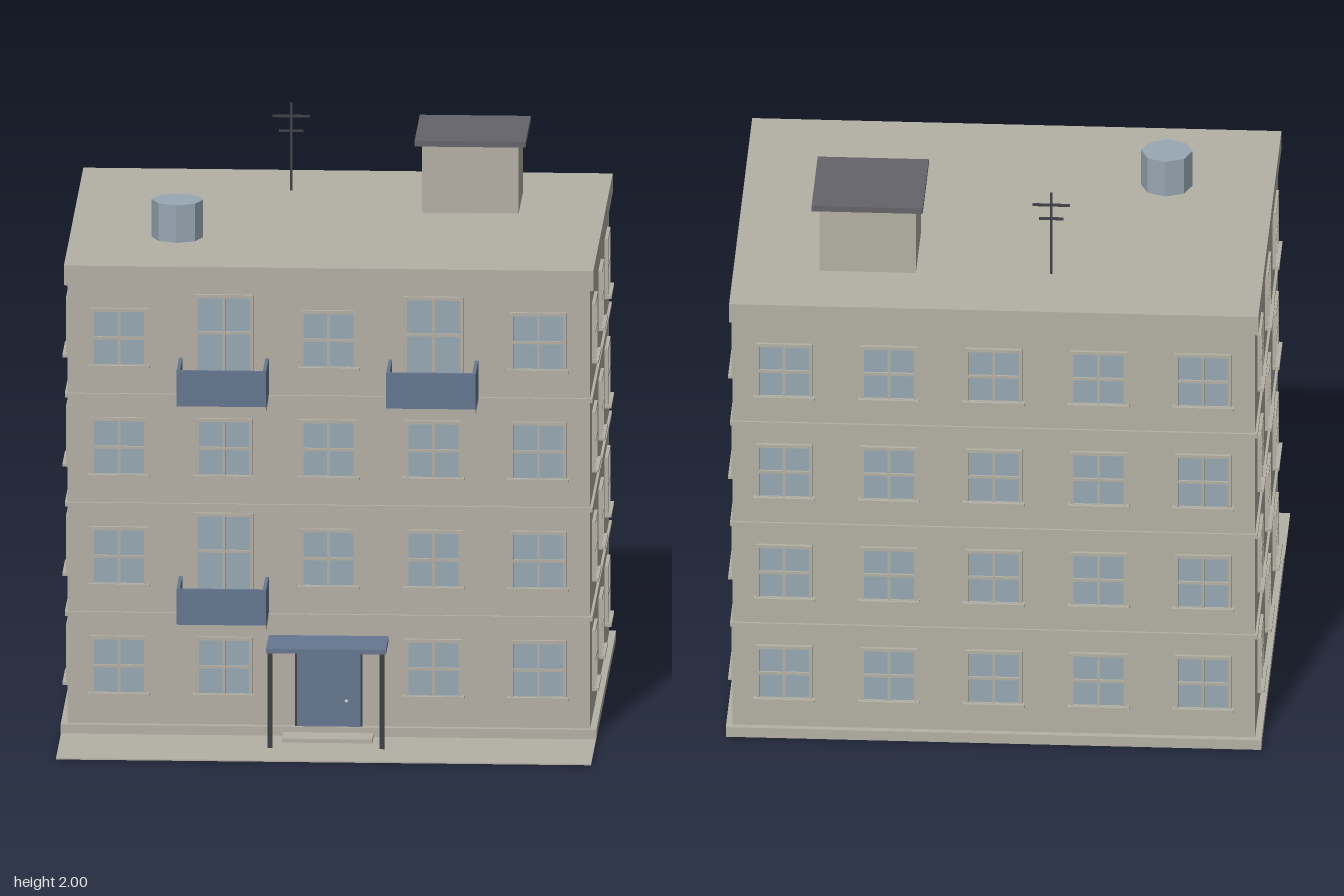
import * as THREE from 'three';

const mat = (name, color) => {
  const m = new THREE.MeshStandardMaterial({ color });
  m.name = name;
  return m;
};

export function createModel() {
  const wall = mat('plaster', 0xb4b0a5);
  const glass = mat('glass', 0x98a8b4);
  const blue = mat('blue paint', 0x66778f);
  const slate = mat('slate grey', 0x64646a);
  const iron = mat('dark iron', 0x3f4147);
  const steel = mat('light steel', 0xc4c8cc);
  const tank = glass.clone();
  tank.name = 'tank metal';
  tank.flatShading = true;

  const model = new THREE.Group();
  model.name = 'apartmentBlock';

  // Box given by its extents along each axis
  const box = (parent, name, m, x0, x1, y0, y1, z0, z1) => {
    const mesh = new THREE.Mesh(new THREE.BoxGeometry(x1 - x0, y1 - y0, z1 - z0), m);
    mesh.position.set((x0 + x1) / 2, (y0 + y1) / 2, (z0 + z1) / 2);
    mesh.name = name;
    parent.add(mesh);
    return mesh;
  };
  const rect = (P, x0, x1, y0, y1) => {
    const p = new P();
    p.moveTo(x0, y0); p.lineTo(x1, y0); p.lineTo(x1, y1); p.lineTo(x0, y1); p.closePath();
    return p;
  };

  const X = 0.915, ZF = 0.533, ZB = -0.905, FLOOR = 0.393;
  // Box following the outline of the walls, offset outwards by d
  const ring = (name, d, y0, y1) => box(model, name, wall, -X - d, X + d, y0, y1, ZB - d, ZF + d);

  // Ground, walls, plinth, floor bands and roof cap
  box(model, 'pavement', wall, -0.937, 0.937, 0, 0.005, -0.927, 0.925);
  ring('plinth', 0.023, 0.005, 0.038);
  ring('walls', 0, 0.038, 1.615);
  for (let i = 1; i < 4; i++) ring('floorBand', 0.009, 0.032 + FLOOR * i, 0.047 + FLOOR * i);
  ring('roofCap', 0.012, 1.615, 1.686);

  // Window with four panes; bottom centre at the origin, facing +z
  const windowKit = (w, h, split, sill) => {
    const b = 0.012, g = 0.005, hw = w / 2;
    const s = rect(THREE.Shape, -hw - b, hw + b, -b, h + b);
    for (const [y0, y1] of [[0, split - g], [split + g, h]]) {
      s.holes.push(rect(THREE.Path, -hw, -g, y0, y1), rect(THREE.Path, g, hw, y0, y1));
    }
    const frame = new THREE.ExtrudeGeometry(s, { depth: 0.012, bevelEnabled: false });
    return (parent, x, y, z, turn) => {
      const group = new THREE.Group();
      group.name = sill ? 'window' : 'balconyDoor';
      const f = new THREE.Mesh(frame, wall);
      f.name = 'windowFrame';
      group.add(f);
      box(group, 'windowPanes', glass, -hw, hw, 0, h, 0, 0.004);
      if (sill) box(group, 'windowSill', wall, -hw - 0.02, hw + 0.02, -0.012, -0.001, 0, 0.024);
      group.position.set(x, y, z);
      group.rotation.y = turn;
      parent.add(group);
    };
  };
  const wideWindow = windowKit(0.175, 0.19, 0.095, true);
  const sideWindow = windowKit(0.16, 0.19, 0.095, true);
  const balconyDoor = windowKit(0.185, 0.335, 0.21, false);

  // Balcony with slab and three parapet panels
  const balcony = (x, y) => {
    const g = new THREE.Group();
    g.name = 'balcony';
    const w = 0.157, t = 0.012, z = 0.732;
    box(g, 'balconySlab', wall, -w, w, 0, 0.017, ZF, z);
    box(g, 'balconyFront', blue, -w, w, 0.017, 0.145, z - t, z);
    for (const s of [-1, 1]) {
      const c = s * (w - t / 2);
      box(g, 'balconySide', blue, c - t / 2, c + t / 2, 0.017, 0.145, ZF, z - t);
    }
    g.position.set(x, y, 0);
    model.add(g);
  };

  // Openings on all four walls
  for (let row = 0; row < 4; row++) {
    const y = 0.152 + FLOOR * row;
    for (let col = -2; col <= 2; col++) {
      const x = col * 0.367;
      wideWindow(model, x, y, ZB, Math.PI);
      if (row === 0 && col === 0) continue;
      if ((row === 3 && Math.abs(col) === 1) || (row === 1 && col === -1)) {
        balconyDoor(model, x, y + 0.056 - 0.148 + 0.0 + 0.0 + 0.0, ZF, 0);
        balcony(x, y - 0.119);
      } else wideWindow(model, x, y, ZF, 0);
    }
    for (const z of [0.296, -0.185, -0.663]) {
      sideWindow(model, X, y, z, Math.PI / 2);
      sideWindow(model, -X, y, z, -Math.PI / 2);
    }
  }

  // Entrance: door, frame, step and canopy on posts
  box(model, 'doorFrame', iron, -0.118, 0.118, 0.038, 0.33, ZF, ZF + 0.008);
  box(model, 'frontDoor', blue, -0.111, 0.111, 0.038, 0.323, ZF, ZF + 0.014);
  const knob = new THREE.Mesh(new THREE.SphereGeometry(0.007, 10, 8), steel);
  knob.name = 'doorKnob';
  knob.position.set(0.063, 0.13, ZF + 0.018);
  model.add(knob);
  box(model, 'doorStep', wall, -0.158, 0.158, 0.005, 0.019, ZF + 0.023, 0.656);
  box(model, 'canopy', blue, -0.21, 0.21, 0.346, 0.362, ZF, 0.741);
  for (const s of [-1, 1]) {
    box(model, 'canopyPost', iron, s * 0.196 - 0.008, s * 0.196 + 0.008, 0.001, 0.346, 0.724, 0.74);
  }

  // Stair house on the roof
  box(model, 'stairHouse', wall, 0.288, 0.626, 1.686, 1.93, -0.637, -0.3);
  box(model, 'stairHouseRoof', slate, 0.263, 0.652, 1.93, 1.951, -0.663, -0.275);

  // Eight-sided water tank
  const drum = new THREE.Mesh(new THREE.CylinderGeometry(0.09, 0.09, 0.135, 8), tank);
  drum.name = 'waterTank';
  drum.position.set(-0.55, 1.686 + 0.0675, 0.1);
  model.add(drum);

  // Aerial with two crossbars
  const ax = -0.185, az = -0.614, r = 0.004;
  box(model, 'aerialMast', iron, ax - r, ax + r, 1.686, 2, az - r, az + r);
  for (const [y, w] of [[1.953, 0.066], [1.9, 0.043]]) {
    box(model, 'aerialBar', iron, ax - w, ax + w, y - r, y + r, az - r, az + r);
  }
  return model;
}
